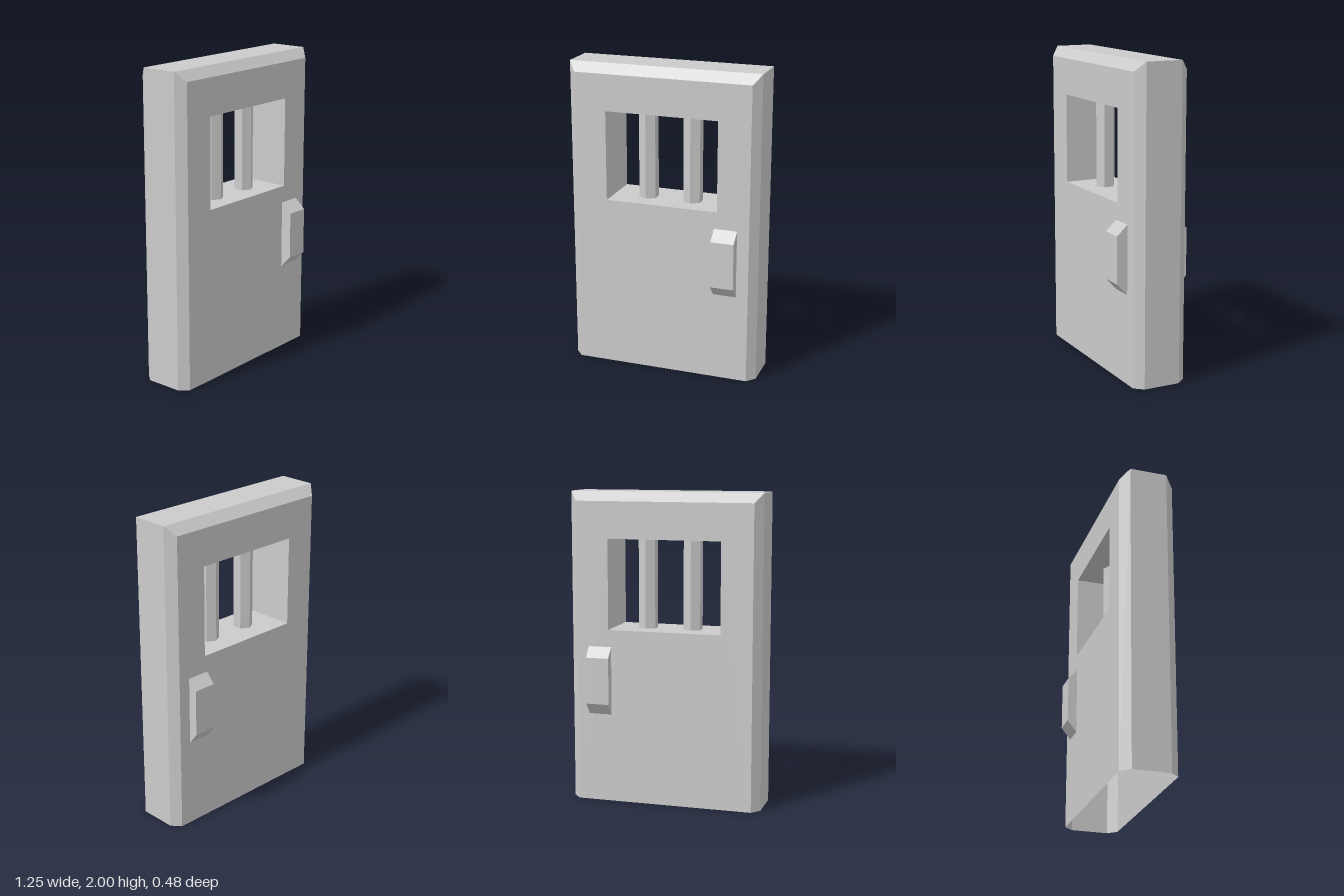
import * as THREE from 'three';

const material = new THREE.MeshStandardMaterial({
  color: 0xcccccc, flatShading: true, side: THREE.DoubleSide,
});

const FRONT = 0.17, BACK = -0.183;
const WINDOW = { left: -0.37, right: 0.365, bottom: 1.125, top: 1.705 };

function addMesh(parent, name, geometry) {
  const mesh = new THREE.Mesh(geometry, material);
  mesh.name = name;
  parent.add(mesh);
  return mesh;
}

// Skin a row of cross-sections (front to back) with flat quads
function skin(sections) {
  const positions = [];
  for (let s = 0; s < sections.length - 1; s++) {
    const a = sections[s], b = sections[s + 1];
    for (let i = 0; i < a.length - 1; i++) {
      positions.push(...a[i], ...a[i + 1], ...b[i], ...a[i + 1], ...b[i + 1], ...b[i]);
    }
  }
  const geometry = new THREE.BufferGeometry();
  geometry.setAttribute('position', new THREE.Float32BufferAttribute(positions, 3));
  geometry.computeVertexNormals();
  return geometry;
}

// Door outline, open along the floor
const outline = (halfWidth, height, z) => [
  [-halfWidth, 0, z], [-halfWidth, height, z], [halfWidth, height, z], [halfWidth, 0, z],
];

// Window opening, wound so its faces look into the opening
const opening = (z) => {
  const { left, right, bottom, top } = WINDOW;
  return [[left, bottom, z], [right, bottom, z], [right, top, z], [left, top, z], [left, bottom, z]];
};

// Flat door face with the window cut out
function panelGeometry() {
  const points = (loop) => loop.map(([x, y]) => new THREE.Vector2(x, y));
  const shape = new THREE.Shape(points(outline(0.575, 1.94, 0)));
  shape.holes.push(new THREE.Path(points(opening(0))));
  return new THREE.ShapeGeometry(shape);
}

// Bevelled grip standing out from one side of the door
function handleGeometry(base, tip) {
  const profile = new THREE.Shape([
    new THREE.Vector2(base, 0.575), new THREE.Vector2(tip, 0.65),
    new THREE.Vector2(tip, 0.95), new THREE.Vector2(base, 1.015),
  ]);
  return new THREE.ExtrudeGeometry(profile, { depth: 0.15, bevelEnabled: false })
    .rotateY(-Math.PI / 2)
    .translate(0.497, 0, 0);
}

export function createModel() {
  const door = new THREE.Group();
  door.name = 'door';

  // Hollow slab: two panels, bevelled rim and window reveal
  addMesh(door, 'frontPanel', panelGeometry().translate(0, 0, FRONT));
  addMesh(door, 'backPanel', panelGeometry().rotateY(Math.PI).scale(-1, 1, 1)
    .translate(0, 0, BACK)).geometry.index.array.reverse();
  door.getObjectByName('backPanel').geometry.computeVertexNormals();
  addMesh(door, 'bevelledRim', skin([
    outline(0.575, 1.94, FRONT), outline(0.625, 2, 0.115),
    outline(0.625, 2, -0.125), outline(0.575, 1.94, BACK),
  ]));
  addMesh(door, 'windowReveal', skin([opening(FRONT), opening(BACK)]));

  // Six-sided window bars
  const barHeight = WINDOW.top - WINDOW.bottom;
  for (const x of [-0.145, 0.153]) {
    const bar = addMesh(door, 'windowBar', new THREE.CylinderGeometry(0.063, 0.063, barHeight, 6));
    bar.position.set(x, WINDOW.bottom + barHeight / 2, 0);
  }

  // Handles on both sides
  addMesh(door, 'frontHandle', handleGeometry(FRONT, 0.24));
  addMesh(door, 'backHandle', handleGeometry(BACK, -0.242));

  return door;
}
